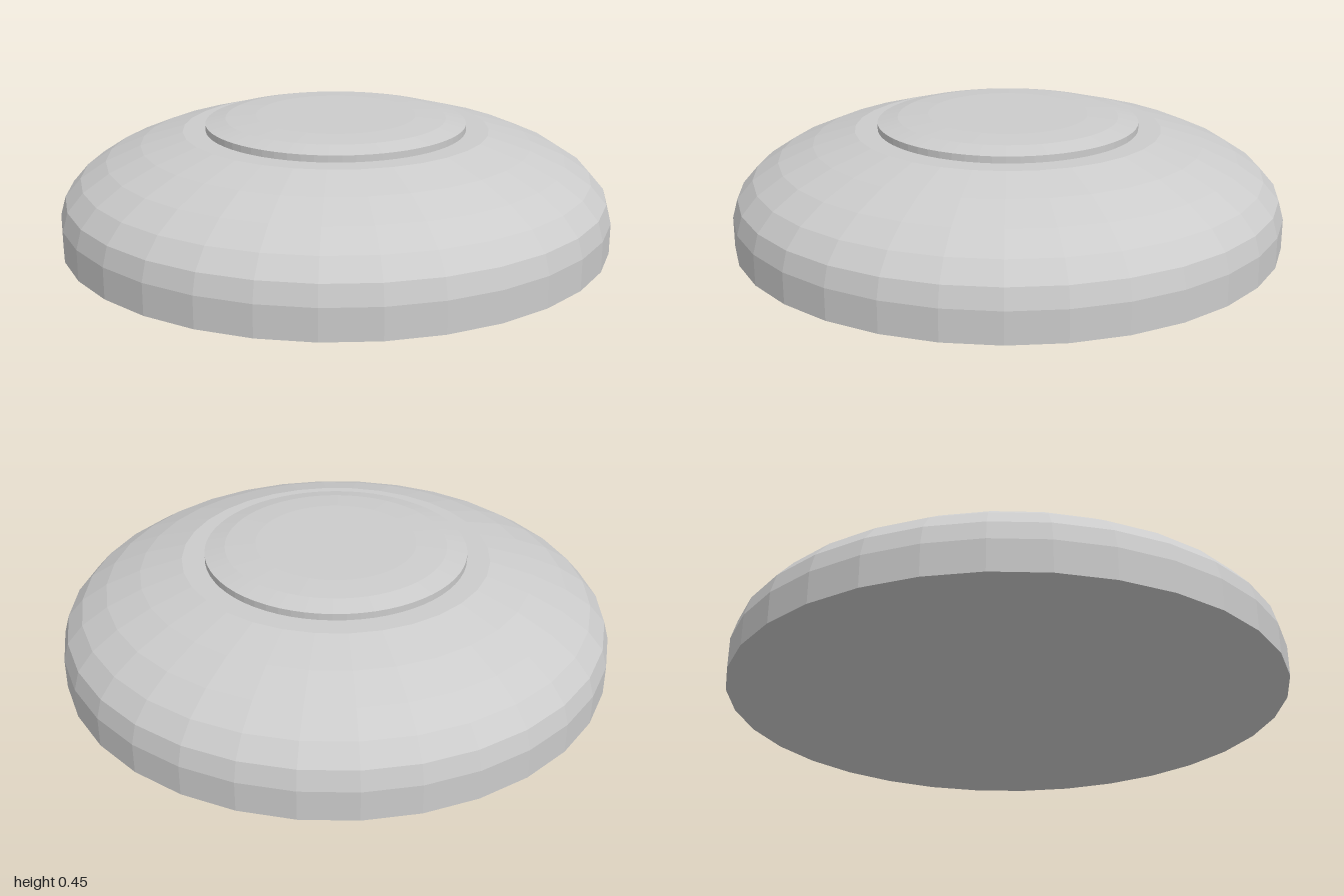
import * as THREE from 'three';

const material = new THREE.MeshStandardMaterial({ color: 0xcccccc, flatShading: true });

// Turned part from a profile of [radius, height] points, bottom to top
function turned(name, profile, sides) {
  const points = profile.map(([r, y]) => new THREE.Vector2(r, y));
  const mesh = new THREE.Mesh(new THREE.LatheGeometry(points, sides), material);
  mesh.name = name;
  return mesh;
}

export function createModel() {
  const group = new THREE.Group();
  group.name = 'domedPuck';

  // Body: closed base, straight rim, then a flattened dome cut off level
  const body = [[0, 0], [1, 0]];
  for (let i = 0; i <= 5; i++) {
    const a = (i * Math.PI) / 16;
    body.push([Math.cos(a), 0.11 + 0.35 * Math.sin(a)]);
  }
  body.push([0, body[body.length - 1][1]]);
  group.add(turned('domedBody', body, 32));

  // Raised cap with a short wall and a shallow crown
  const cap = [[0.473, 0.395], [0.473, 0.425], [0.4, 0.442], [0.29, 0.45], [0, 0.45]];
  group.add(turned('topCap', cap, 64));

  return group;
}
